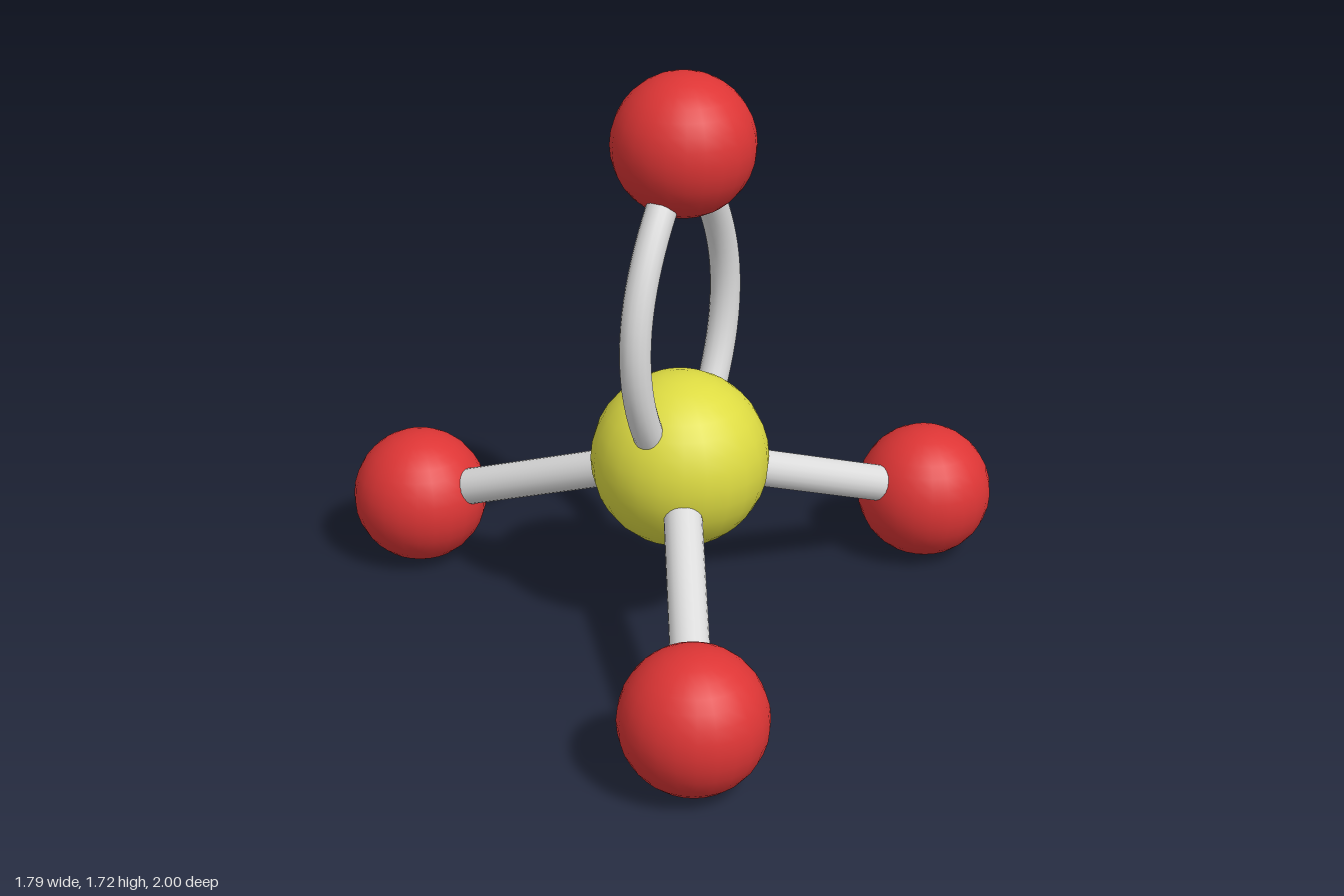
import * as THREE from 'three';

const material = (name, color) => {
  const m = new THREE.MeshStandardMaterial({ color });
  m.name = name;
  return m;
};

export function createModel() {
  const red = material('red', 0xdd3535);
  const yellow = material('yellow', 0xdddb42);
  const grey = material('light grey', 0xdcdcdc);
  const group = new THREE.Group();
  group.name = 'molecule';

  const add = (name, geometry, mat) => {
    const mesh = new THREE.Mesh(geometry, mat);
    mesh.name = name;
    group.add(mesh);
    return mesh;
  };

  const centre = new THREE.Vector3(0.228, 0.546, 0);

  // Atoms
  const ball = (name, radius, position, mat) =>
    add(name, new THREE.SphereGeometry(radius, 24, 16), mat).position.copy(position);
  ball('centralAtom', 0.263, centre, yellow);
  ball('topAtom', 0.208, new THREE.Vector3(centre.x, 1.515, 0), red);

  // Three lower atoms, each on a straight single bond
  for (let i = 0; i < 3; i++) {
    const a = Math.PI / 3 + (i * 2 * Math.PI) / 3;
    const end = new THREE.Vector3(centre.x + 0.914 * Math.cos(a), 0.208, 0.914 * Math.sin(a));
    ball('lowerAtom' + (i + 1), 0.208, end, red);

    const direction = end.clone().sub(centre);
    const bond = add('singleBond' + (i + 1),
      new THREE.CylinderGeometry(0.056, 0.056, direction.length(), 20), grey);
    bond.position.copy(centre).add(end).multiplyScalar(0.5);
    bond.quaternion.setFromUnitVectors(new THREE.Vector3(0, 1, 0), direction.normalize());
  }

  // Two bowed rods forming the double bond
  for (const side of [1, -1]) {
    const curve = new THREE.QuadraticBezierCurve3(
      new THREE.Vector3(centre.x, 0.46, 0),
      new THREE.Vector3(centre.x, 0.98, side * 0.56),
      new THREE.Vector3(centre.x, 1.5, 0));
    add(side > 0 ? 'frontCurvedBond' : 'backCurvedBond',
      new THREE.TubeGeometry(curve, 32, 0.045, 16), grey);
  }
  return group;
}
